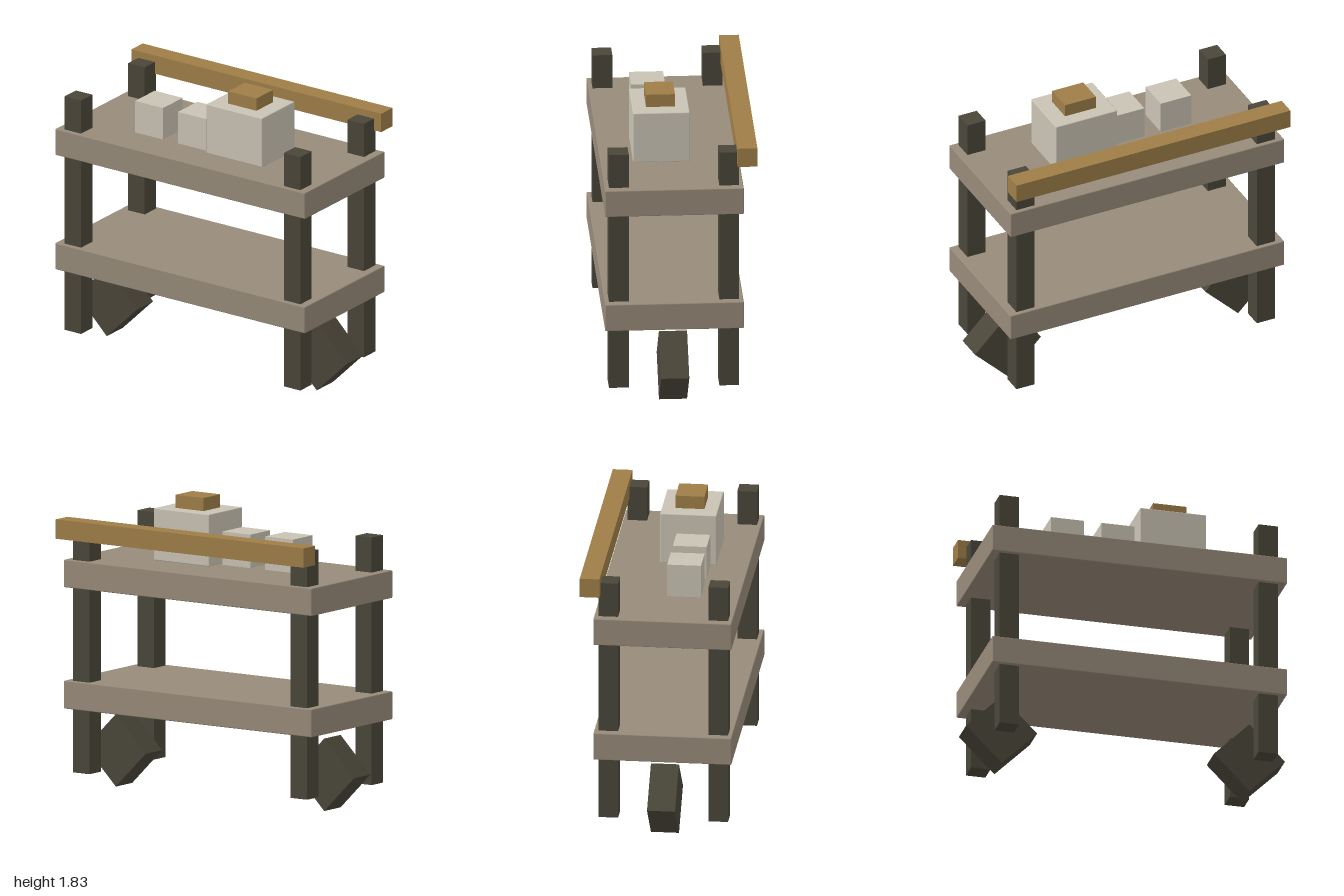
import * as THREE from 'three';
import { RoundedBoxGeometry } from 'three/addons/geometries/RoundedBoxGeometry.js';

function material(name, color) {
  const m = new THREE.MeshStandardMaterial({ color });
  m.name = name;
  return m;
}

export function createModel() {
  const group = new THREE.Group();
  const dark = material('dark wood', 0x4a4639);
  const shelfWood = material('grey brown wood', 0x978a79);
  const pale = material('pale cream', 0xc9c3b4);
  const ochre = material('ochre wood', 0x9f7e48);

  // Box given by its extents; an optional bevel softens the edges
  function box(name, mat, [x0, x1], [y0, y1], [z0, z1], bevel = 0) {
    const size = [x1 - x0, y1 - y0, z1 - z0];
    const geometry = bevel
      ? new RoundedBoxGeometry(...size, 1, bevel)
      : new THREE.BoxGeometry(...size);
    const mesh = new THREE.Mesh(geometry, mat);
    mesh.name = name;
    mesh.position.set((x0 + x1) / 2, (y0 + y1) / 2, (z0 + z1) / 2);
    group.add(mesh);
    return mesh;
  }

  // Two thick shelves
  box('lowerShelf', shelfWood, [-0.925, 0.925], [0.51, 0.682], [-0.38, 0.462], 0.006);
  box('upperShelf', shelfWood, [-0.925, 0.925], [1.255, 1.425], [-0.38, 0.462], 0.006);

  for (const side of [-1, 1]) {
    const label = side > 0 ? 'left' : 'right';
    // Corner posts
    const xs = [side * 0.812 - 0.061, side * 0.812 + 0.061];
    box(label + 'FrontPost', dark, xs, [0.12, 1.64], [0.316, 0.436]);
    box(label + 'BackPost', dark, xs, [0.12, 1.64], [-0.354, -0.234]);

    // Square wheel block standing on its corner
    const half = 0.2225 / Math.SQRT2;
    const x = side * 0.7775;
    const wheel = box(label + 'Wheel', dark, [x - half, x + half],
      [0.2225 - half, 0.2225 + half], [-0.044, 0.127]);
    wheel.rotation.z = Math.PI / 4;
  }

  // Push bar behind the back posts
  box('pushBar', ochre, [-0.925, 0.925], [1.564, 1.683], [-0.462, -0.342]);

  // Containers on the upper shelf
  box('largeContainer', pale, [0.055, 0.47], [1.425, 1.745], [-0.08, 0.265], 0.006);
  box('containerLid', ochre, [0.159, 0.368], [1.74, 1.825], [0.004, 0.18]);
  box('smallContainerRight', pale, [-0.495, -0.288], [1.425, 1.63], [0.024, 0.23]);
  box('smallContainerLeft', pale, [-0.178, 0.029], [1.425, 1.63], [0.024, 0.23]);

  return group;
}
